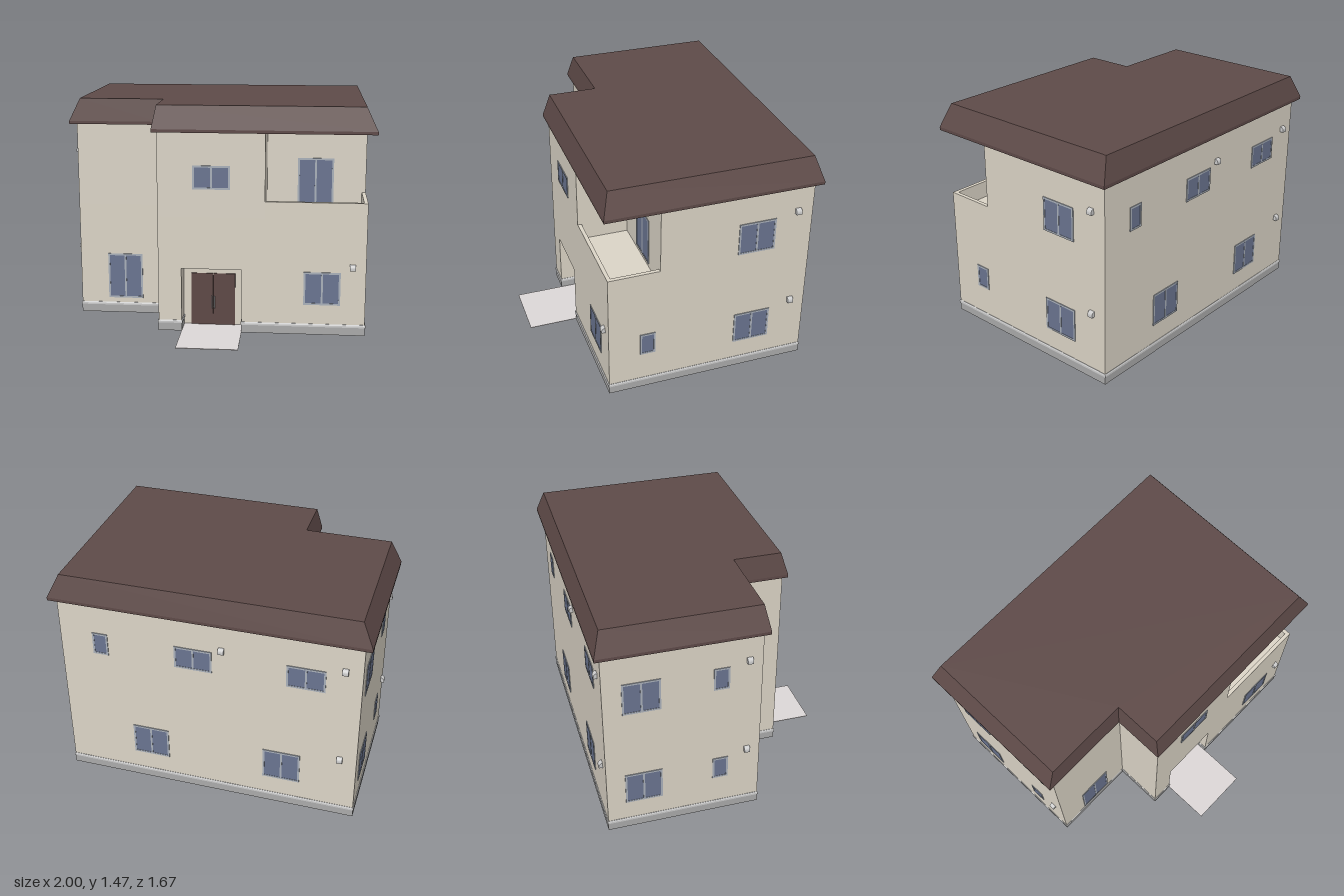
import * as THREE from 'three';

const paint = (color) => new THREE.MeshStandardMaterial({ color });
const MAT = {
  wall: paint(0xdbd4c6), roof: paint(0x5e4a48), frame: paint(0xa9b0ba), glass: paint(0x6a7490),
  door: paint(0x5e4846), path: paint(0xdcd7d7), plinth: paint(0xaaaaaa), metal: paint(0xcccccc),
};

function add(parent, name, geometry, material, x = 0, y = 0, z = 0) {
  const mesh = new THREE.Mesh(geometry, material);
  mesh.name = name;
  mesh.position.set(x, y, z);
  parent.add(mesh);
  return mesh;
}

// Box given by its limits on each axis
function block(parent, name, material, [x0, x1], [y0, y1], [z0, z1]) {
  return add(parent, name, new THREE.BoxGeometry(x1 - x0, y1 - y0, z1 - z0), material,
    (x0 + x1) / 2, (y0 + y1) / 2, (z0 + z1) / 2);
}

// Closed solid through outlines of [x, z] points stacked at given heights
function stack(levels) {
  const pos = [];
  const at = (l, i) => {
    const [y, pts] = levels[l];
    const [x, z] = pts[i % pts.length];
    return [x, y, z];
  };
  const last = levels.length - 1, n = levels[0][1].length;
  for (let l = 0; l < last; l++) {
    for (let i = 0; i < n; i++) {
      const a = at(l, i), b = at(l, i + 1), c = at(l + 1, i + 1), d = at(l + 1, i);
      pos.push(...a, ...d, ...c, ...a, ...c, ...b);
    }
  }
  for (const l of [0, last]) {
    const flat = levels[l][1].map(([x, z]) => new THREE.Vector2(x, z));
    for (const [a, b, c] of THREE.ShapeUtils.triangulateShape(flat, [])) {
      pos.push(...(l === 0 ? [a, b, c] : [a, c, b]).flatMap((i) => at(l, i)));
    }
  }
  const g = new THREE.BufferGeometry();
  g.setAttribute('position', new THREE.Float32BufferAttribute(pos, 3));
  g.computeVertexNormals();
  return g;
}

// Main dimensions
const W = 0.955, BACK = -0.8, FRONT = 0.51, WING_X = -0.375, WING_Z = 0.18;
const DOOR_L = -0.225, DOOR_R = 0.165, DOOR_Z = 0.38;
const BAL_X = 0.31, BAL_FLOOR = 0.76, BAL_TOP = 0.87, EAVE = 1.305;

// L-shaped outline grown by e, with an optional detour along the front edge
const plan = (e = 0, detour = []) => [
  [-W - e, BACK - e], [W + e, BACK - e], [W + e, FRONT + e], ...detour,
  [WING_X - e, FRONT + e], [WING_X - e, WING_Z + e], [-W - e, WING_Z + e],
];
const entrance = (e, z) => [
  [DOOR_R + e, FRONT + e], [DOOR_R + e, z], [DOOR_L - e, z], [DOOR_L - e, FRONT + e],
];

// Position and turn of each wall face; u runs along x or z
const FACES = {
  front: { turn: 0, at: (u) => [u, FRONT] },
  wing: { turn: 0, at: (u) => [u, WING_Z] },
  back: { turn: Math.PI, at: (u) => [u, BACK] },
  left: { turn: Math.PI / 2, at: (u) => [W, u] },
  right: { turn: -Math.PI / 2, at: (u) => [-W, u] },
};
function mount(parent, name, face, u, y) {
  const g = new THREE.Group();
  const [x, z] = FACES[face].at(u);
  g.name = name;
  g.position.set(x, y, z);
  g.rotation.y = FACES[face].turn;
  parent.add(g);
  return g;
}

// Window with frame bars, glass and a mullion when wide
function addWindow(parent, [face, u, w, y0, y1]) {
  const g = mount(parent, 'window', face, u, (y0 + y1) / 2);
  const h = y1 - y0, t = 0.012, d = 0.01;
  add(g, 'glass', new THREE.BoxGeometry(w - t, h - t, 0.006), MAT.glass);
  for (const s of [-1, 1]) {
    add(g, 'frameRail', new THREE.BoxGeometry(w, t, d), MAT.frame, 0, s * (h - t) / 2);
    add(g, 'frameStile', new THREE.BoxGeometry(t, h - 2 * t, d), MAT.frame, s * (w - t) / 2);
  }
  if (w > 0.15) add(g, 'mullion', new THREE.BoxGeometry(t, h - 2 * t, d), MAT.frame);
}

// Quarter-round vent hood
function ventGeometry() {
  const s = new THREE.Shape();
  s.moveTo(0, -0.018);
  s.lineTo(0.024, -0.018);
  s.lineTo(0.024, -0.006);
  s.absellipse(0, -0.006, 0.024, 0.024, 0, Math.PI / 2, false);
  s.closePath();
  return new THREE.ExtrudeGeometry(s, { depth: 0.036, bevelEnabled: false, curveSegments: 6 })
    .rotateY(-Math.PI / 2).translate(0.018, 0, 0);
}

export function createModel() {
  const house = new THREE.Group();
  house.name = 'house';

  // Walls, storey by storey
  add(house, 'entranceWalls', stack([0.002, 0.42].map((y) => [y, plan(0, entrance(0, DOOR_Z))])), MAT.wall);
  add(house, 'middleWalls', stack([0.42, BAL_FLOOR].map((y) => [y, plan()])), MAT.wall);
  const upper = plan();
  upper.splice(2, 1, [W, WING_Z], [BAL_X, WING_Z], [BAL_X, FRONT]);
  add(house, 'upperWalls', stack([BAL_FLOOR, EAVE].map((y) => [y, upper])), MAT.wall);

  // Balcony parapet
  const t = 0.025;
  block(house, 'balconyFrontParapet', MAT.wall, [BAL_X, W], [BAL_FLOOR, BAL_TOP], [FRONT - t, FRONT]);
  block(house, 'balconySideParapet', MAT.wall, [W - t, W], [BAL_FLOOR, BAL_TOP], [WING_Z, FRONT - t]);

  // Plinth and its trim, open at the entrance
  const base = plan(0.002, entrance(-0.002, DOOR_Z - 0.01));
  const lip = plan(0.006, entrance(-0.006, DOOR_Z - 0.01));
  for (const o of [base, lip]) {
    const z = o[2][1];
    o[3][1] = o[6][1] = z;
  }
  add(house, 'plinth', stack([[0, base], [0.053, base]]), MAT.plinth);
  add(house, 'plinthTrim', stack([[0.053, lip], [0.064, lip], [0.072, base]]), MAT.metal);

  // Roof: short fascia, sloped sides, flat top
  const eave = [[-1, -0.837], [1, -0.837], [1, 0.537], [-0.405, 0.537], [-0.405, 0.207], [-1, 0.207]];
  const top = [[-0.93, -0.79], [0.93, -0.79], [0.93, 0.493], [-0.375, 0.493], [-0.375, 0.18], [-0.93, 0.18]];
  add(house, 'roof', stack([[EAVE, eave], [EAVE + 0.02, eave], [1.472, top]]), MAT.roof);

  // Entrance: path, double door, pull handles
  block(house, 'path', MAT.path, [DOOR_L, DOOR_R], [0, 0.004], [DOOR_Z, 0.833]);
  for (const s of [-1, 1]) {
    const cx = -0.03 + s * 0.0725;
    block(house, 'doorLeaf', MAT.door, [cx - 0.072, cx + 0.072], [0.004, 0.355], [DOOR_Z - 0.005, DOOR_Z + 0.006]);
    const hx = -0.03 + s * 0.008;
    add(house, 'doorHandle', new THREE.CylinderGeometry(0.004, 0.004, 0.085, 10), MAT.metal, hx, 0.162, DOOR_Z + 0.018);
    for (const y of [0.13, 0.194]) {
      block(house, 'handleMount', MAT.metal, [hx - 0.003, hx + 0.003], [y - 0.003, y + 0.003], [DOOR_Z, DOOR_Z + 0.018]);
    }
  }

  // Windows: face, centre along wall, width, bottom, top
  [
    ['front', -0.03, 0.24, 0.943, 1.095], ['front', 0.678, 0.235, 0.2, 0.417],
    ['wing', 0.628, 0.235, 0.785, 1.095], ['wing', -0.65, 0.235, 0.105, 0.417],
    ['left', -0.44, 0.24, 0.878, 1.095], ['left', -0.44, 0.24, 0.2, 0.417], ['left', 0.257, 0.1, 0.263, 0.417],
    ['back', 0.69, 0.1, 0.943, 1.095], ['back', 0.087, 0.24, 0.943, 1.095], ['back', -0.617, 0.24, 0.943, 1.095],
    ['back', 0.39, 0.24, 0.2, 0.417], ['back', -0.48, 0.24, 0.2, 0.417],
    ['right', -0.565, 0.235, 0.878, 1.095], ['right', -0.565, 0.235, 0.2, 0.417],
    ['right', -0.075, 0.1, 0.943, 1.095], ['right', -0.075, 0.1, 0.263, 0.417],
  ].forEach((w) => addWindow(house, w));

  // Vent hoods: face, position along wall, height
  const hood = ventGeometry();
  [
    ['front', 0.87, 0.455], ['left', -0.7, 1.122], ['left', -0.7, 0.455],
    ['right', 0.095, 1.122], ['right', 0.095, 0.455],
    ['back', -0.096, 1.122], ['back', -0.85, 1.122], ['back', -0.85, 0.455],
  ].forEach(([face, u, y]) => add(mount(house, 'vent', face, u, y), 'ventHood', hood, MAT.metal));

  return house;
}
